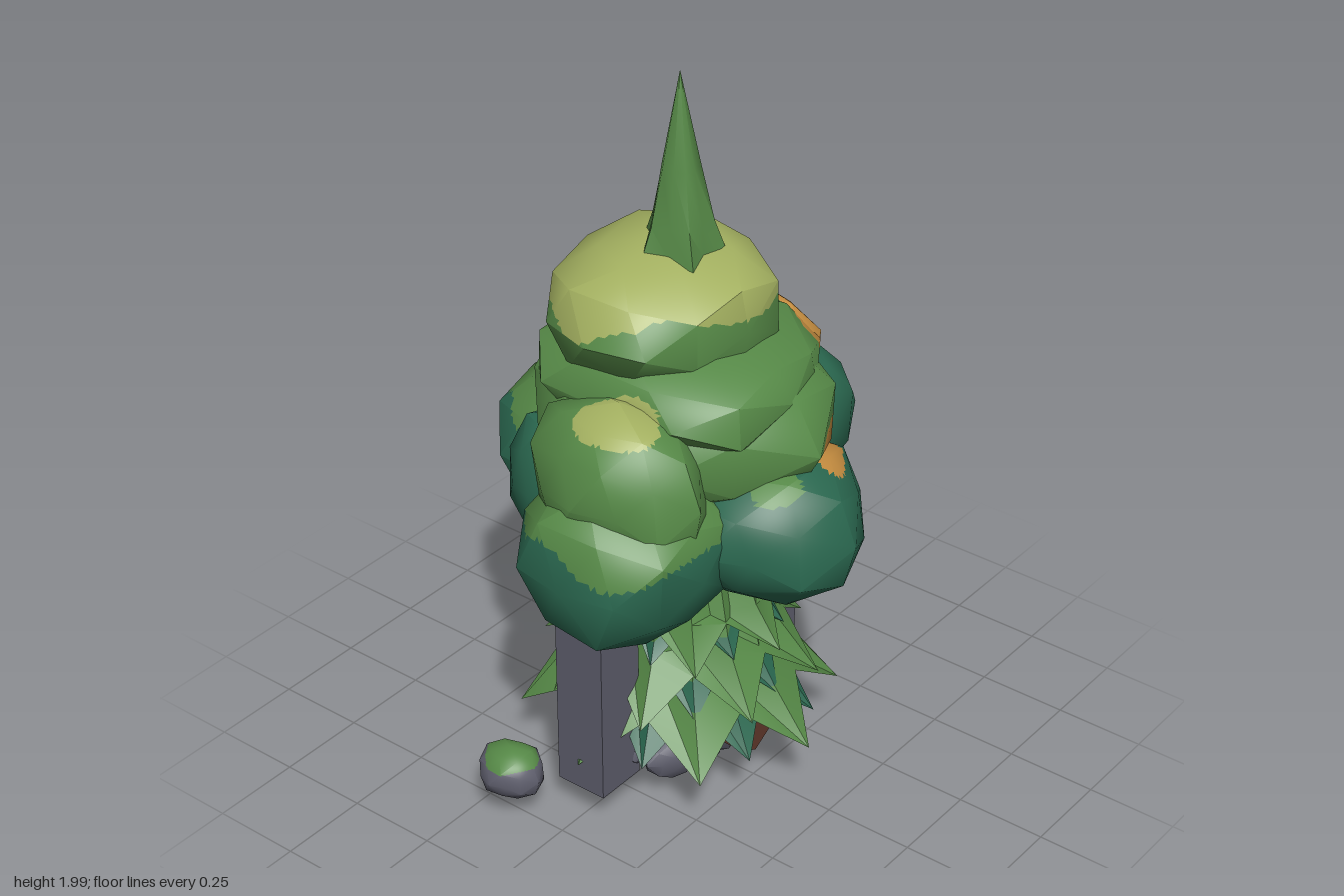
import * as THREE from 'three';
import { toCreasedNormals } from 'three/addons/utils/BufferGeometryUtils.js';

const mat = (name, color, side = THREE.FrontSide) => {
  const m = new THREE.MeshStandardMaterial({ color, side });
  m.name = name;
  return m;
};

export function createModel() {
  const root = new THREE.Group();
  root.name = 'tree';
  const teal = mat('deep teal leaf', 0x2a674f, THREE.DoubleSide);
  const green = mat('mid green leaf', 0x568947, THREE.DoubleSide);
  const lime = mat('pale green leaf', 0xa3b060);
  const orange = mat('autumn orange', 0xc88f41);
  const stone = mat('grey stone', 0x5d5d6b);
  const bark = mat('brown bark', 0x5f372a);
  const palette = [teal, green, lime, orange];

  const add = (name, geo, material, parent = root) => {
    const mesh = new THREE.Mesh(geo, material);
    mesh.name = name;
    parent.add(mesh);
    return mesh;
  };

  // Lumpy low-poly ball, already placed
  const lump = (pos, size, seed, rough = 0.06) => {
    const g = new THREE.IcosahedronGeometry(1, 1);
    const p = g.attributes.position;
    const v = new THREE.Vector3();
    for (let i = 0; i < p.count; i++) {
      v.fromBufferAttribute(p, i);
      const k = 1 + rough * (Math.sin(4.1 * v.x + seed) + Math.sin(5.3 * v.z + 2 * seed) * Math.cos(3.7 * v.y + seed));
      v.y = Math.sign(v.y) * Math.pow(Math.abs(v.y), 0.85);
      v.multiplyScalar(k);
      p.setXYZ(i, pos[0] + v.x * size[0], pos[1] + v.y * size[1], pos[2] + v.z * size[2]);
    }
    return toCreasedNormals(g, 0.75);
  };

  // Split every face evenly and sort the pieces into colour groups by a rule
  const paint = (geo, rule, n = 9) => {
    const P = geo.attributes.position, N = geo.attributes.normal;
    const bins = palette.map(() => ({ pos: [], nor: [] }));
    const at = (attr, f, i, j) => {
      const out = new THREE.Vector3();
      [n - i - j, i, j].forEach((w, k) =>
        out.addScaledVector(new THREE.Vector3().fromBufferAttribute(attr, f + k), w / n));
      return out;
    };
    for (let f = 0; f < P.count; f += 3) {
      const tri = (...c) => {
        const pts = c.map(([i, j]) => at(P, f, i, j));
        const mid = pts[0].clone().add(pts[1]).add(pts[2]).divideScalar(3);
        const bin = bins[rule(mid)];
        pts.forEach((q) => bin.pos.push(q.x, q.y, q.z));
        c.forEach(([i, j]) => { const q = at(N, f, i, j).normalize(); bin.nor.push(q.x, q.y, q.z); });
      };
      for (let i = 0; i < n; i++) for (let j = 0; j < n - i; j++) {
        tri([i, j], [i + 1, j], [i, j + 1]);
        if (i + j < n - 1) tri([i + 1, j], [i + 1, j + 1], [i, j + 1]);
      }
    }
    const out = new THREE.BufferGeometry();
    out.setAttribute('position', new THREE.Float32BufferAttribute(bins.flatMap((b) => b.pos), 3));
    out.setAttribute('normal', new THREE.Float32BufferAttribute(bins.flatMap((b) => b.nor), 3));
    let start = 0;
    bins.forEach((b, k) => { out.addGroup(start, b.pos.length / 3, k); start += b.pos.length / 3; });
    return out;
  };

  // Canopy: teal below, green above, with orange on the +x side and pale tops
  const wave = (p) => 0.025 * Math.sin(13 * p.x + 9 * p.z) + 0.018 * Math.sin(23 * p.z - 17 * p.x + 8 * p.y);
  const near = (p, c, r) => Math.hypot((p.x - c[0]) / r[0], (p.y - c[1]) / r[1], (p.z - c[2]) / r[2]) + 4 * wave(p) < 1;
  const patches = [
    [[0.38, 1.19, 0.02], [0.18, 0.12, 0.24]],
    [[0.17, 1.03, 0.4], [0.11, 0.06, 0.12]],
    [[0.2, 1.04, -0.42], [0.1, 0.1, 0.13]],
    [[0.41, 1.04, -0.18], [0.1, 0.1, 0.13]],
    [[0.51, 0.98, -0.02], [0.08, 0.09, 0.14]],
  ];
  const leafRule = (greenFrom, limeFrom) => (p) => {
    const y = p.y + wave(p);
    if (greenFrom < 5 && patches.some(([c, r]) => near(p, c, r))) return 3;
    if (near(p, [-0.38, 1.23, 0.1], [0.09, 0.07, 0.12])) return 2;
    return y > limeFrom ? 2 : y > greenFrom ? 1 : 0;
  };
  const canopy = new THREE.Group();
  canopy.name = 'canopy';
  root.add(canopy);
  const lobes = [
    ['canopyCore', [0, 0.83, 0], [0.4, 0.2, 0.4], 1.0, 9, 9],
    ['frontLobe', [0, 0.86, 0.27], [0.29, 0.2, 0.27], 2.1, 1.03, 9],
    ['backLobe', [0.04, 0.86, -0.28], [0.29, 0.22, 0.28], 3.3, 0.97, 9],
    ['leftLobe', [0.33, 0.83, -0.07], [0.27, 0.24, 0.29], 0.4, 1.02, 9],
    ['rightLobe', [-0.33, 0.84, 0.08], [0.25, 0.25, 0.27], 5.2, 0.91, 9],
    ['rightUpperLobe', [-0.33, 1.04, 0.07], [0.2, 0.21, 0.24], 1.7, 0.92, 9],
    ['frontLeftLobe', [0.28, 0.96, 0.15], [0.18, 0.2, 0.15], 4.4, 9, 9],
    ['backRightLobe', [-0.21, 0.88, -0.22], [0.14, 0.2, 0.14], 2.9, 9, 9],
    ['middleTier', [0, 1.08, 0], [0.4, 0.22, 0.41], 0.9, 0.93, 9],
    ['leftUpperLobe', [0.24, 1.16, 0.0], [0.17, 0.14, 0.24], 0.2, 0.5, 9],
    ['upperTier', [-0.01, 1.21, 0.01], [0.33, 0.14, 0.37], 3.8, 0.5, 9],
    ['topTier', [-0.02, 1.37, -0.04], [0.3, 0.185, 0.29], 6.1, 0.5, 1.41],
  ];
  for (const [name, pos, size, seed, g, l] of lobes)
    add(name, paint(lump(pos, size, seed), leafRule(g, l)), palette, canopy);

  // Star-shaped ring cross-sections, given as [y of valley, radius of valley, y of tip, radius of tip]
  const starShell = (points, rings, turn, crease) => {
    const pos = [], idx = [], m = points * 2;
    for (const [vy, vr, ty, tr] of rings) for (let i = 0; i < m; i++) {
      const a = turn + (i / m) * Math.PI * 2, tip = i % 2 === 0;
      pos.push(Math.sin(a) * (tip ? tr : vr), tip ? ty : vy, Math.cos(a) * (tip ? tr : vr));
    }
    for (let r = 0; r < rings.length - 1; r++) for (let i = 0; i < m; i++) {
      const a = r * m + i, b = r * m + (i + 1) % m;
      idx.push(a, b, a + m, b, b + m, a + m);
    }
    const g = new THREE.BufferGeometry();
    g.setAttribute('position', new THREE.Float32BufferAttribute(pos, 3));
    g.setIndex(idx);
    return toCreasedNormals(g, crease);
  };

  // Tall pointed shoot on top
  add('topSpike', starShell(5, [[1.52, 0.075, 1.49, 0.125], [1.6, 0.068, 1.6, 0.085], [1.75, 0.045, 1.75, 0.052], [2, 0, 2, 0]], Math.PI, 1.2), green);

  // Hanging leaf skirts: broad green fronds, teal leaves showing in the notches
  const skirts = new THREE.Group();
  skirts.name = 'leafSkirts';
  root.add(skirts);
  // [tip y, tip radius, notch rise, middle y, middle radius, turn]
  const tiers = [
    [0.18, 0.43, 0.12, 0.38, 0.275, 0],
    [0.31, 0.38, 0.11, 0.47, 0.26, Math.PI / 8],
    [0.45, 0.33, 0.09, 0.56, 0.25, 0],
  ];
  tiers.forEach(([tipY, tipR, rise, midY, midR, turn], k) => {
    const shell = (r) => [
      [tipY + rise, tipR * 0.74 * r, tipY, tipR * r],
      [midY, midR * 0.82 * r, midY, midR * r], [0.72, 0.16 * r, 0.72, 0.19 * r]];
    add('greenFronds' + k, starShell(8, shell(1), turn, 0.4), green, skirts);
    add('tealFronds' + k, starShell(8, shell(0.86), turn + Math.PI / 8, 0.4), teal, skirts);
  });

  // Stone pillars either side
  for (const s of [-1, 1])
    add(s > 0 ? 'leftPillar' : 'rightPillar', new THREE.BoxGeometry(0.15, 0.6, 0.15).translate(s * 0.345, 0.4, 0), stone);

  // Log lying through the base
  const log = new THREE.CylinderGeometry(0.075, 0.075, 0.51, 6);
  log.rotateX(Math.PI / 2);
  add('log', toCreasedNormals(log, 0.4), bark).position.set(0, 0.165, 0);

  // Rubble base
  const rubble = new THREE.Group();
  rubble.name = 'rubble';
  root.add(rubble);
  const rock = (name, pos, size, seed) => add(name, lump(pos, size, seed, 0.08), stone, rubble);
  rock('baseRock', [0, 0.12, 0], [0.2, 0.115, 0.19], 0.3);
  rock('upperRock', [0, 0.2, 0], [0.19, 0.09, 0.15], 1.3);
  for (let i = 0; i < 12; i++) {
    const a = ((i % 6) - 2.5) * 0.42 + (i < 6 ? 0 : Math.PI);
    const r = 0.16 + 0.04 * (i % 3), s = 0.04 + 0.01 * (i % 4);
    rock('smallRock' + i, [Math.cos(a) * r * 1.15, 0.1 + 0.03 * (i % 3), Math.sin(a) * r * 0.9], [s * 1.2, s, s], i);
  }
  rock('pillarPebble', [0.34, 0.51, 0.08], [0.04, 0.04, 0.03], 2);
  rock('backPebble', [-0.34, 0.35, -0.08], [0.04, 0.04, 0.03], 4);
  rock('sideRock', [0.37, 0.15, -0.1], [0.06, 0.05, 0.06], 5);
  const block = add('sideBlock', new THREE.BoxGeometry(0.13, 0.15, 0.15), stone, rubble);
  block.position.set(0.385, 0.235, -0.12);
  block.rotation.set(0.12, 0.3, 0.25);

  // Outlying boulder with a mossy cap
  add('mossyBoulder', paint(lump([-0.512, 0.14, -0.16], [0.09, 0.07, 0.088], 1.2),
    (p) => (p.y + 0.4 * wave(p) > 0.175 ? 1 : 0)), [stone, green, green, green]);

  return root;
}
